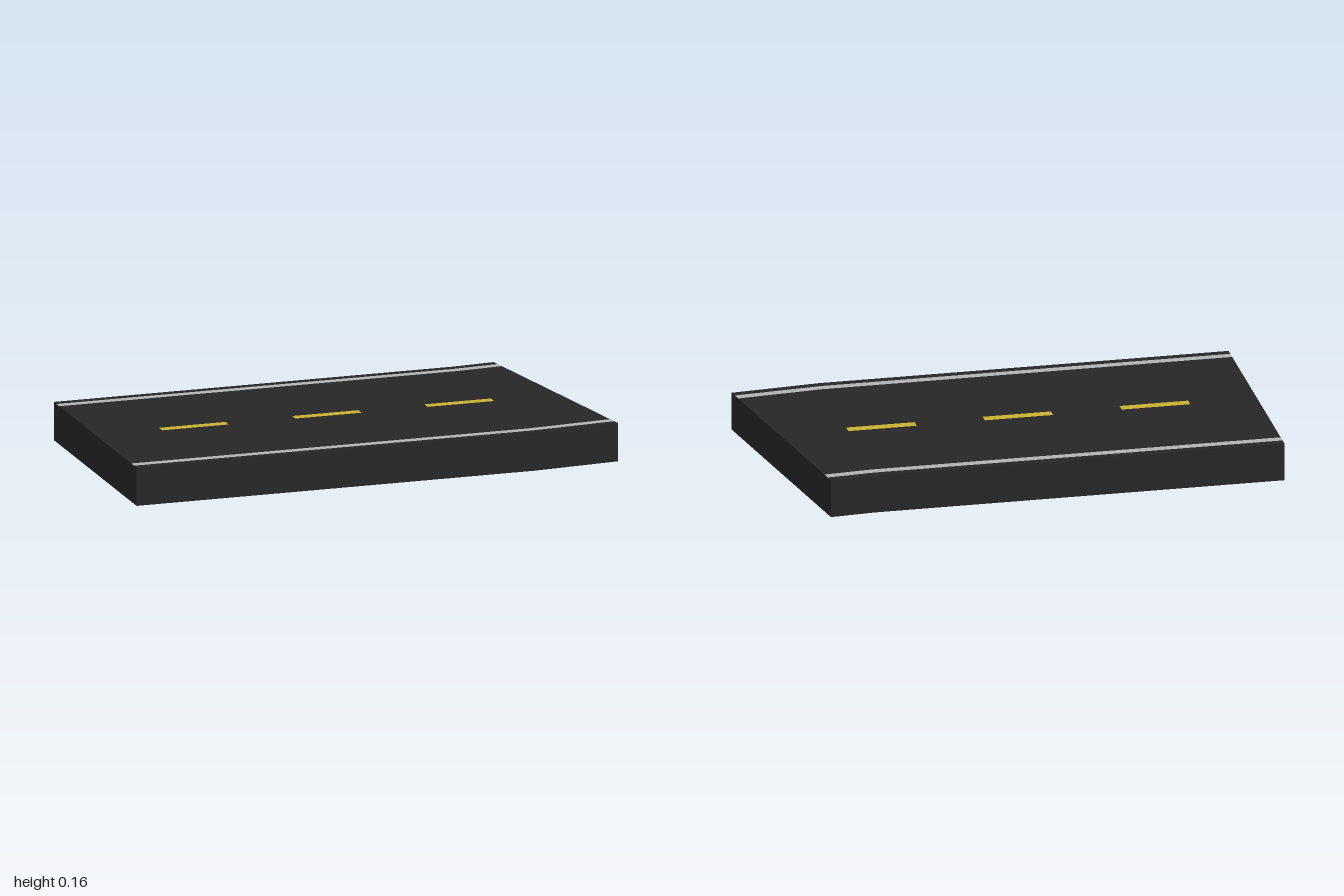
import * as THREE from 'three';

const HEIGHT = 0.155, MID_Z = 0.0045, HALF = 0.5135;

// Quads (four corners, counter-clockwise from outside) to one flat mesh
function quadMesh(name, quads, material) {
  const geo = new THREE.BufferGeometry();
  const pos = quads.flatMap(([a, b, c, d]) => [a, b, c, a, c, d].flat());
  geo.setAttribute('position', new THREE.Float32BufferAttribute(pos, 3));
  geo.computeVertexNormals();
  const mesh = new THREE.Mesh(geo, material);
  mesh.name = name;
  return mesh;
}

export function createModel() {
  const group = new THREE.Group();
  group.name = 'roadSegment';
  const paint = color => new THREE.MeshStandardMaterial({ color, side: THREE.DoubleSide, flatShading: true });
  const asphalt = paint(0x262626), white = paint(0xb2b2b2), yellow = paint(0xc8b032);

  // Cross-sections along the road; the last one is skewed where the road bends
  const stations = [-1, -0.73, -0.455, -0.18, 0.094, 0.367, 0.642];
  const offsets = [-HALF, -0.481, -0.446, -0.02, 0.02, 0.446, 0.481, HALF];
  const rows = stations.map(x => offsets.map(o => [x, HEIGHT, MID_Z + o]));
  rows.push(offsets.map(o => {
    const t = (o + HALF) / (2 * HALF);
    return [0.822 + 0.178 * t, HEIGHT, -0.522 + 1.011 * t];
  }));

  // Deck cells sorted into asphalt, edge lines and centre dashes
  const deck = [], lines = [], dashes = [];
  for (let i = 0; i < rows.length - 1; i++) {
    for (let j = 0; j < offsets.length - 1; j++) {
      const cell = [rows[i][j], rows[i][j + 1], rows[i + 1][j + 1], rows[i + 1][j]];
      if (j === 1 || j === 5) lines.push(cell);
      else if (j === 3 && i % 2 === 1 && i < 6) dashes.push(cell);
      else deck.push(cell);
    }
  }

  // Side walls round the outline, open underneath
  const last = offsets.length - 1;
  const outline = [rows[0][last], rows[6][last], rows[7][last], rows[7][0], rows[6][0], rows[0][0]];
  const ground = p => [p[0], 0, p[2]];
  const walls = outline.map((p, i) => {
    const q = outline[(i + 1) % outline.length];
    return [ground(p), ground(q), q, p];
  });

  group.add(
    quadMesh('roadSurface', deck, asphalt),
    quadMesh('sideWalls', walls, asphalt),
    quadMesh('edgeLines', lines, white),
    quadMesh('centreDashes', dashes, yellow),
  );
  return group;
}
